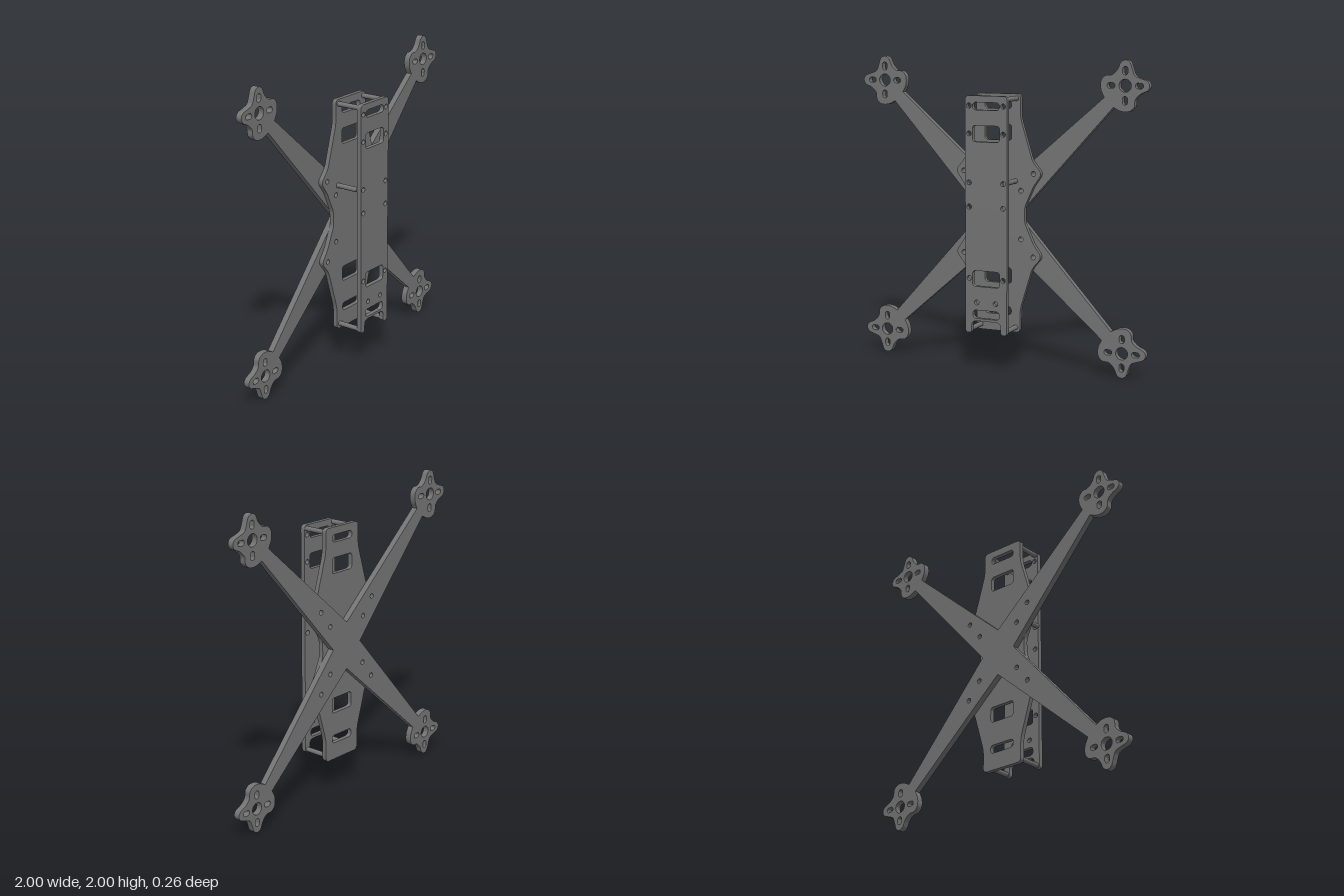
import * as THREE from 'three';

const carbon = new THREE.MeshStandardMaterial({ color: 0x747474 });
carbon.name = 'carbon grey';

const v = (x, y) => new THREE.Vector2(x, y);

// Rounded rectangle path, used for slots and windows
function roundRect(cx, cy, hw, hh, r) {
  const p = new THREE.Path();
  p.absarc(cx + hw - r, cy + hh - r, r, 0, Math.PI / 2);
  p.absarc(cx - hw + r, cy + hh - r, r, Math.PI / 2, Math.PI);
  p.absarc(cx - hw + r, cy - hh + r, r, Math.PI, Math.PI * 1.5);
  p.absarc(cx + hw - r, cy - hh + r, r, Math.PI * 1.5, Math.PI * 2);
  p.closePath();
  return p;
}

const circle = (x, y, r) => new THREE.Path().absarc(x, y, r, 0, Math.PI * 2);

// Outline with each listed corner [x, y, radius] rounded off
function roundedOutline(corners) {
  const s = new THREE.Shape();
  corners.forEach(([x, y, r], i) => {
    const n = corners.length;
    const c = v(x, y);
    const toward = ([px, py]) => v(px, py).sub(c).setLength(r).add(c);
    const a = toward(corners[(i + n - 1) % n]);
    const b = toward(corners[(i + 1) % n]);
    if (i === 0) s.moveTo(a.x, a.y); else s.lineTo(a.x, a.y);
    s.quadraticCurveTo(x, y, b.x, b.y);
  });
  s.closePath();
  return s;
}

function plate(name, shape, holes, z, depth) {
  shape.holes.push(...holes);
  const geo = new THREE.ExtrudeGeometry(shape, { depth, bevelEnabled: false, curveSegments: 10 });
  const mesh = new THREE.Mesh(geo, carbon);
  mesh.name = name;
  mesh.position.z = z;
  return mesh;
}

// Motor mount outline, from the inner horizontal lobe to the outer diagonal
const HALF_LOBES = [
  [-0.135, -0.075], [-0.158, -0.025], [-0.157, 0.03], [-0.13, 0.06], [-0.085, 0.066],
  [-0.05, 0.1], [-0.028, 0.145], [0, 0.158], [0.028, 0.145], [0.045, 0.1], [0.062, 0.062],
];
const HUB = 0.84;

function hubOutline() {
  const mirrored = HALF_LOBES.slice(0, -1).reverse().map(([a, b]) => [b, a]);
  const pts = [...HALF_LOBES, ...mirrored].map(([a, b]) => new THREE.Vector3(a, b, 0));
  return new THREE.CatmullRomCurve3(pts).getPoints(72);
}

// Screw holes shared by the arms and the main plate
function armScrews() {
  const holes = [];
  for (const sx of [-1, 1]) for (const sy of [-1, 1]) {
    holes.push(circle(sx * 0.245, 1.003 + sy * 0.268, 0.016));
    holes.push(circle(sx * 0.158, 1.003 + sy * 0.157, 0.016));
  }
  return holes;
}

// X-shaped arms with a lobed mount on each end
function makeArms() {
  const outline = hubOutline();
  const pts = [];
  const holes = armScrews();
  for (const [sx, sy] of [[1, 1], [-1, 1], [-1, -1], [1, -1]]) {
    const hub = outline.map((p) => v(sx * (HUB + p.x), 1 + sy * (HUB + p.y)));
    if (sx * sy > 0) {
      pts.push(v(sx * 0.13, 1), ...hub.reverse());
    } else {
      pts.push(v(0, 1 + sy * 0.155), ...hub);
    }
    const cx = sx * HUB, cy = 1 + sy * HUB;
    holes.push(circle(cx, cy, 0.04));
    for (const d of [-0.092, 0.092]) {
      holes.push(roundRect(cx + d, cy, 0.026, 0.017, 0.0165));
      holes.push(roundRect(cx, cy + d, 0.017, 0.026, 0.0165));
    }
  }
  return plate('crossArms', new THREE.Shape(pts), holes, -0.128, 0.041);
}

// Strap slots and windows, in both body plates
const windows = () => [
  roundRect(0, 1.703, 0.093, 0.024, 0.022),
  roundRect(0, 1.53, 0.094, 0.051, 0.02),
  roundRect(0, 0.605, 0.094, 0.051, 0.02),
  roundRect(0, 0.373, 0.093, 0.027, 0.022),
];

function makeMainPlate() {
  const quarter = [
    [0.185, 0.05, 0.02], [0.245, 0.185, 0.02], [0.305, 0.268, 0.035],
    [0.238, 0.345, 0.03], [0.154, 0.62, 0.04], [0.154, 0.77, 0.03],
  ];
  const at = (sx, sy) => quarter.map(([x, y, r]) => [sx * x, 1.005 + sy * y, r]);
  const corners = [
    ...at(1, 1), ...at(-1, 1).reverse(), ...at(-1, -1), ...at(1, -1).reverse(),
  ];
  return plate('mainPlate', roundedOutline(corners), [...windows(), ...armScrews()], -0.087, 0.03);
}

function makeFrontPlate() {
  // Straight sides, with an arched cutout between two feet
  const shape = roundedOutline([
    [0.145, 0.25, 0.018], [0.145, 1.768, 0.03], [-0.145, 1.768, 0.03], [-0.145, 0.25, 0.018],
    [-0.102, 0.25, 0.018], [-0.102, 0.33, 0.035], [0.102, 0.33, 0.035], [0.102, 0.25, 0.018],
  ]);
  const holes = windows();
  for (const sx of [-1, 1]) {
    for (const y of [1.705, 1.53, 1.22, 1.065, 0.605]) holes.push(circle(sx * 0.118, y, 0.016));
    holes.push(circle(sx * 0.066, 0.45, 0.016));
  }
  return plate('frontPlate', shape, holes, 0.098, 0.03);
}

// Round spacers between the main plate and the front plate
function makeStandoffs() {
  const group = new THREE.Group();
  group.name = 'standoffs';
  const geo = new THREE.CylinderGeometry(0.016, 0.016, 0.157, 20);
  geo.rotateX(Math.PI / 2);
  const spots = [
    [-0.126, 1.746], [0.126, 1.746], [-0.139, 1.22], [0.121, 1.22], [-0.124, 0.268], [0.124, 0.268],
  ];
  for (const [x, y] of spots) {
    const mesh = new THREE.Mesh(geo, carbon);
    mesh.name = 'standoff';
    mesh.position.set(x, y, 0.0205);
    group.add(mesh);
  }
  return group;
}

export function createModel() {
  const model = new THREE.Group();
  model.name = 'quadcopterFrame';
  model.add(makeArms(), makeMainPlate(), makeFrontPlate(), makeStandoffs());
  return model;
}
